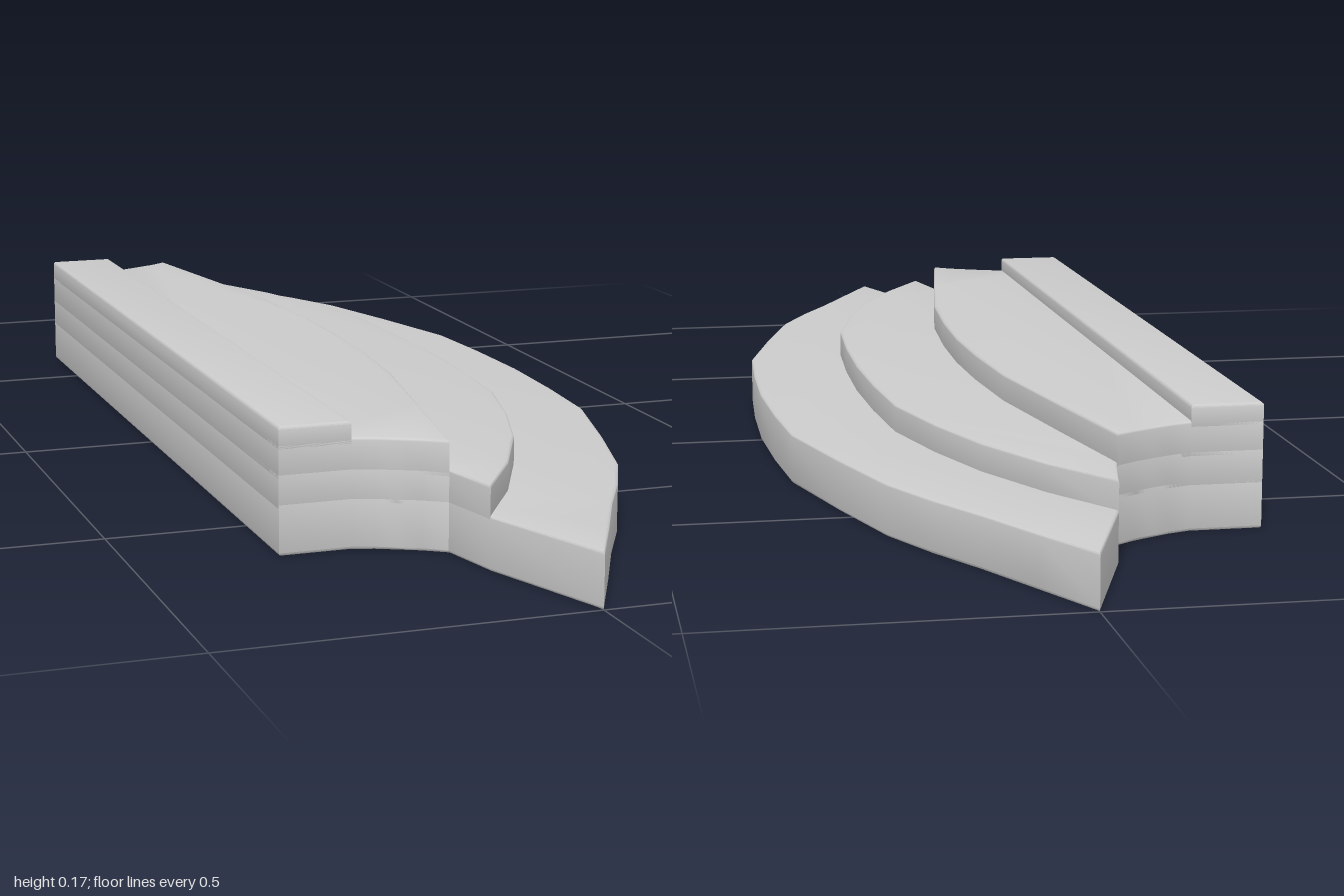
import * as THREE from 'three';
import { toCreasedNormals } from 'three/addons/utils/BufferGeometryUtils.js';

const BEVEL = 0.004;
const material = new THREE.MeshStandardMaterial({ color: 0xcccccc });

// End outline shared by all tiers, from the back corner to the pointed tip, as [x, z]
const END = [[-0.305, 0.655], [-0.205, 0.655], [-0.175, 0.665], [-0.15, 0.677],
  [-0.12, 0.692], [-0.09, 0.712], [-0.07, 0.805], [0, 1]];

// Each tier: how many end points it keeps, its bottom and top, and half of its curved front edge
const TIERS = [
  { name: 'bottomStep', ends: 8, y0: 0, y1: 0.073,
    front: [[0.055, 0.894], [0.106, 0.793], [0.155, 0.705], [0.2, 0.61], [0.245, 0.46], [0.29, 0.29], [0.3, 0.15], [0.305, 0]] },
  { name: 'middleStep', ends: 7, y0: 0.06, y1: 0.113,
    front: [[0.0, 0.695], [0.063, 0.565], [0.105, 0.44], [0.14, 0.3], [0.15, 0.15], [0.154, 0]] },
  { name: 'upperStep', ends: 6, y0: 0.1, y1: 0.152,
    front: [[-0.055, 0.51], [-0.02, 0.3], [-0.008, 0.14], [-0.004, 0]] },
  { name: 'backLedge', ends: 2, y0: 0.14, y1: 0.174, front: [] },
];

// Mirrors half a plan outline across z = 0 and extrudes it upward with softened edges
function makeTier({ name, ends, y0, y1, front }) {
  const half = [...END.slice(0, ends), ...front];
  const other = half.filter(([, z]) => z > 0).reverse().map(([x, z]) => [x, -z]);
  const shape = new THREE.Shape([...half, ...other].map(([x, z]) => new THREE.Vector2(x, z)));
  const geometry = new THREE.ExtrudeGeometry(shape, {
    depth: y1 - y0 - 2 * BEVEL,
    bevelThickness: BEVEL, bevelSize: BEVEL, bevelOffset: -BEVEL, bevelSegments: 3,
  });
  geometry.rotateX(-Math.PI / 2).translate(0, y0 + BEVEL, 0);
  const mesh = new THREE.Mesh(toCreasedNormals(geometry, 0.6), material);
  mesh.name = name;
  return mesh;
}

export function createModel() {
  const group = new THREE.Group();
  group.name = 'curvedSteps';
  TIERS.forEach((tier) => group.add(makeTier(tier)));
  return group;
}
